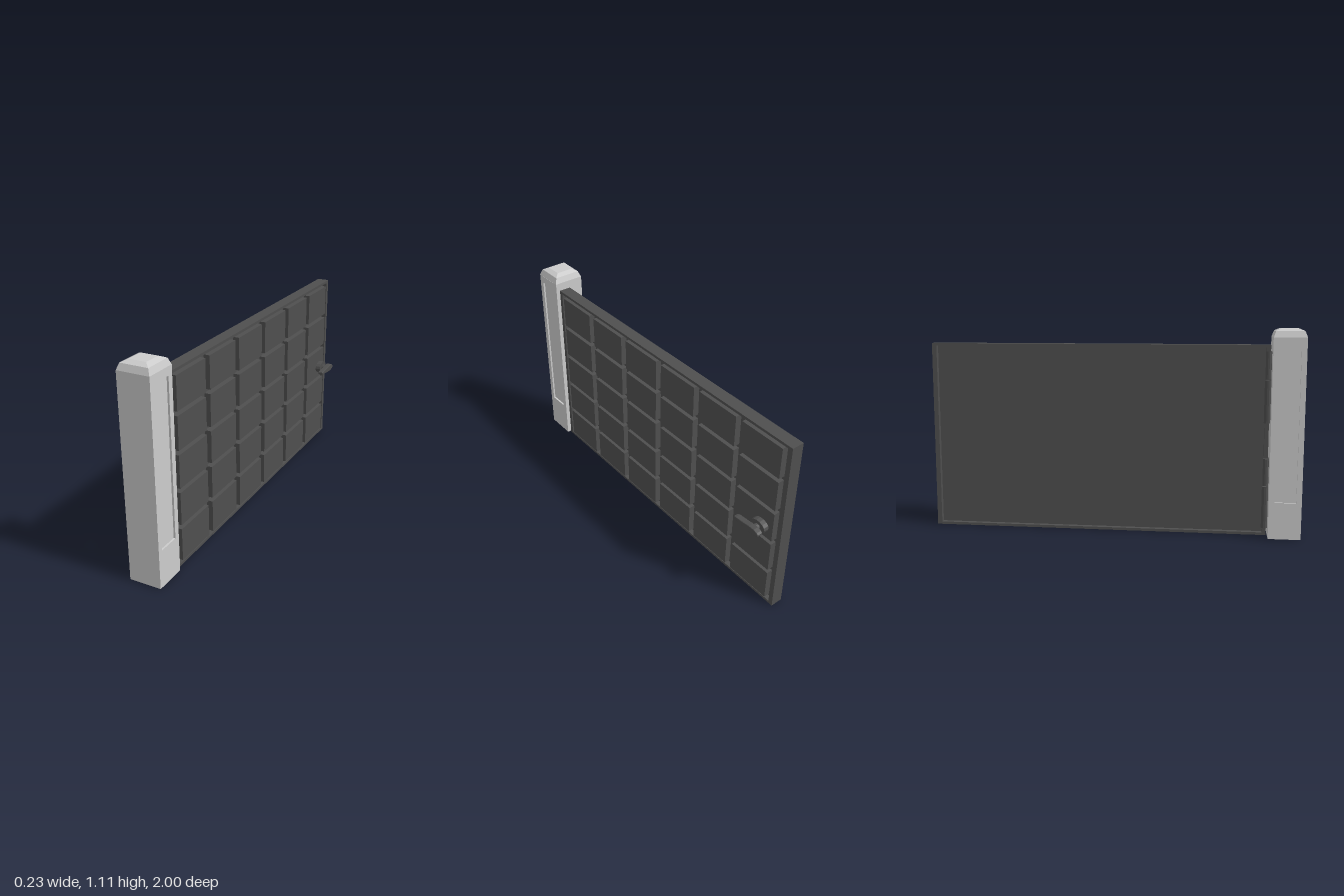
import * as THREE from 'three';

const grey = new THREE.MeshStandardMaterial({ color: 0xcccccc, flatShading: true });
const dark = new THREE.MeshStandardMaterial({ color: 0x4f4f4f, flatShading: true });

function add(parent, name, geometry, material) {
  const mesh = new THREE.Mesh(geometry, material);
  mesh.name = name;
  parent.add(mesh);
  return mesh;
}

// Box given by its limits on each axis
function block(x0, x1, y0, y1, z0, z1) {
  return new THREE.BoxGeometry(x1 - x0, y1 - y0, z1 - z0)
    .translate((x0 + x1) / 2, (y0 + y1) / 2, (z0 + z1) / 2);
}

// Rectangular frame in the z-y plane, extruded along x; rects are [z0, z1, y0, y1]
function frame(x0, x1, outer, inner) {
  const corners = ([z0, z1, y0, y1]) =>
    [[-z1, y0], [-z0, y0], [-z0, y1], [-z1, y1]].map(p => new THREE.Vector2(...p));
  const shape = new THREE.Shape(corners(outer));
  shape.holes.push(new THREE.Path(corners(inner).reverse()));
  return new THREE.ExtrudeGeometry(shape, { depth: x1 - x0, bevelEnabled: false })
    .rotateY(Math.PI / 2).translate(x0, 0, 0);
}

function createPost() {
  const post = new THREE.Group();
  post.name = 'post';
  const x0 = -0.117, x1 = 0.054, z0 = 0.83, z1 = 1, y0 = 0.004, y1 = 1.06, d = 0.01;
  add(post, 'postCore', block(x0 + d, x1 - d, y0, y1, z0, z1), grey);
  // Side faces with a tall sunken panel
  for (const x of [x0, x1 - d]) {
    add(post, 'postSideFrame', frame(x, x + d, [z0, z1, y0, y1], [0.859, 0.972, 0.2, 1.017]), grey);
  }
  // Two-step bevelled cap
  const steps = [[0.085, 1.06], [0.073, 1.092], [0.045, 1.105]];
  for (let i = 0; i < 2; i++) {
    const [r0, h0] = steps[i], [r1, h1] = steps[i + 1];
    const cap = new THREE.CylinderGeometry(r1 * Math.SQRT2, r0 * Math.SQRT2, h1 - h0, 4)
      .rotateY(Math.PI / 4).translate((x0 + x1) / 2, (h0 + h1) / 2, (z0 + z1) / 2);
    add(post, 'postCap', cap, grey);
  }
  return post;
}

function createGate() {
  const gate = new THREE.Group();
  gate.name = 'gate';
  const inner = [-0.975, 0.803, 0.014, 1.004];
  add(gate, 'gateRim', frame(-0.032, 0.034, [-1, 0.825, 0, 1.018], inner), dark);
  // Thin sheet sunk behind the rim on both faces
  add(gate, 'gatePanel', block(-0.006, 0.006, inner[2], inner[3], inner[0], inner[1]), dark);
  // Raised tiles, six columns by five rows
  for (let c = 0; c < 6; c++) {
    for (let r = 0; r < 5; r++) {
      const z = -0.95 + c * 0.295, y = 0.027 + r * 0.197;
      add(gate, 'gateTile', block(0.006, 0.04, y, y + 0.174, z, z + 0.255), dark);
    }
  }
  return gate;
}

// Two hinges, each a short knuckle above a longer one, with leaves in the gap
function createHinges() {
  const hinges = new THREE.Group();
  hinges.name = 'hinges';
  for (const base of [0.045, 0.61]) {
    for (const [low, high, r] of [[0, 0.225, 0.017], [0.23, 0.375, 0.015]]) {
      const knuckle = new THREE.CylinderGeometry(r, r, high - low, 10)
        .translate(-0.044, base + (low + high) / 2, 0.814);
      add(hinges, 'hingeKnuckle', knuckle, dark);
    }
    add(hinges, 'hingeLeaf', block(-0.044, 0.02, base, base + 0.375, 0.82, 0.832), dark);
  }
  return hinges;
}

function createHandle() {
  const handle = new THREE.Group();
  handle.name = 'handle';
  handle.position.set(0, 0.487, -0.878);
  const disc = (r, x0, x1, stretch) => new THREE.CylinderGeometry(r, r, x1 - x0, 14)
    .rotateZ(Math.PI / 2).scale(1, 1, stretch).translate((x0 + x1) / 2, 0, 0);
  add(handle, 'handleRosette', disc(0.034, 0.03, 0.069, 1.4), dark);
  add(handle, 'handleNeck', disc(0.016, 0.06, 0.09, 1.1), dark);
  // Teardrop lever pointing towards the hinges, with softened edges
  const half = [[-0.109, 0.003], [-0.1, 0.006], [-0.05, 0.01], [-0.01, 0.015], [0.02, 0.015],
    [0.04, 0.009], [0.047, 0.003]];
  const outline = [...half.map(([u, v]) => [u, -v]), ...half.reverse()];
  const lever = new THREE.ExtrudeGeometry(
    new THREE.Shape(outline.map(p => new THREE.Vector2(...p))),
    { depth: 0.022, bevelThickness: 0.005, bevelSize: 0.004, bevelSegments: 2 },
  ).rotateY(Math.PI / 2).translate(0.089, 0, 0);
  add(handle, 'handleLever', lever, dark);
  return handle;
}

export function createModel() {
  const model = new THREE.Group();
  model.name = 'gateWithPost';
  model.add(createPost(), createGate(), createHinges(), createHandle());
  return model;
}
